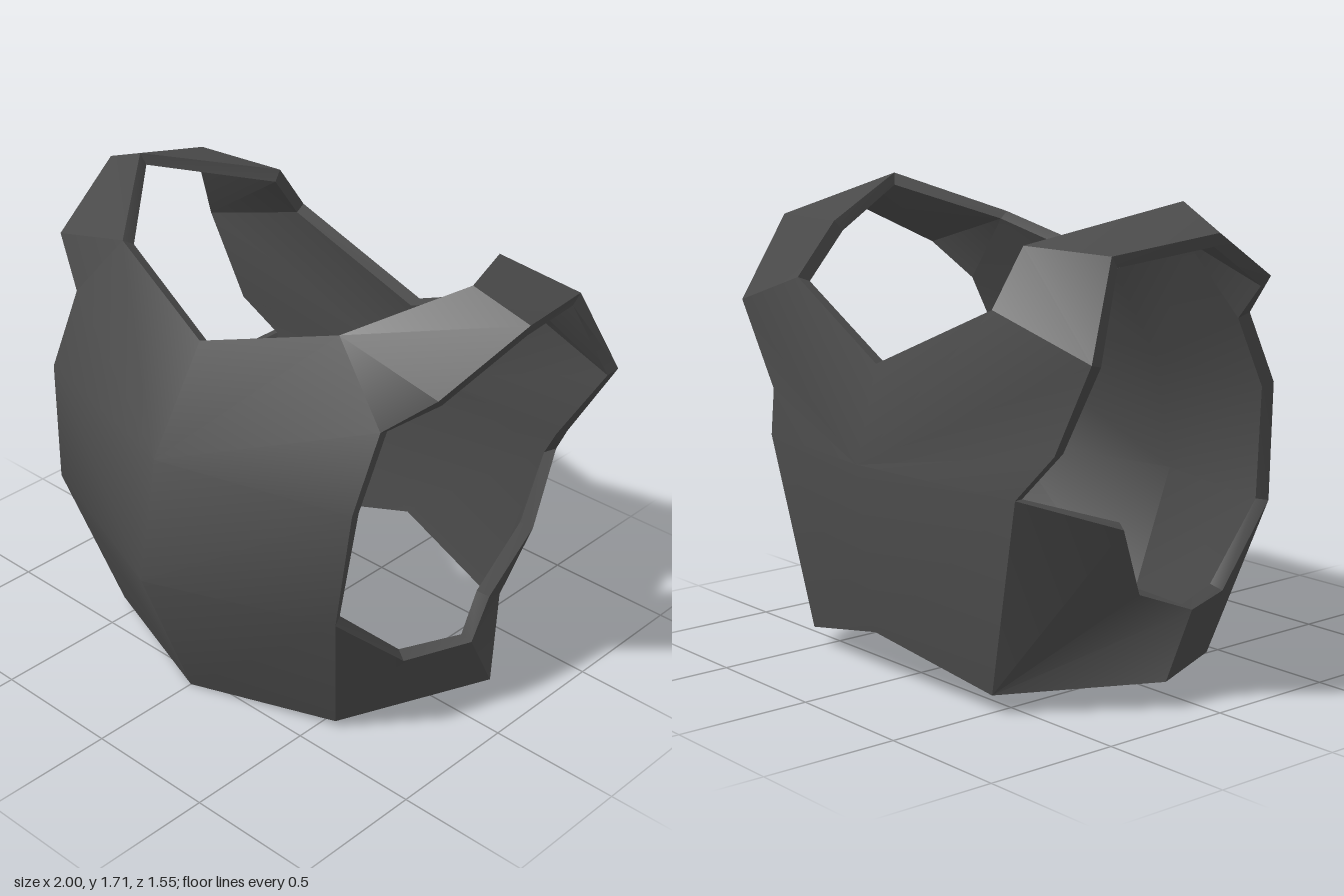
import * as THREE from 'three';
import { toCreasedNormals } from 'three/addons/utils/BufferGeometryUtils.js';

const THICKNESS = 0.05;

// Corner points of the left half (x >= 0) of the outer skin
const corners = {
  // breast centre line, bottom to neck
  a0: [0, 0, 0.56], a1: [0, 0.57, 0.78], a2: [0, 1.03, 0.70], a3: [0, 1.40, 0.47],
  // breast edge, bottom to shoulder
  b0: [0.56, 0.03, 0.38], b1: [0.70, 0.60, 0.54], b2: [0.74, 1.04, 0.51], b3: [0.74, 1.30, 0.38],
  // shoulder strap, neck side and arm side, front to back
  i0: [0.52, 1.56, 0.34], i1: [0.79, 1.71, 0], i2: [0.53, 1.575, -0.47], i3: [0.55, 1.38, -0.62],
  o0: [0.91, 1.45, 0.30], o1: [1.0, 1.625, -0.04], o2: [0.91, 1.57, -0.43], o3: [0.985, 1.25, -0.58],
  // back centre line and back edge
  m0: [0, 0.19, -0.70], m1: [0, 0.80, -0.77], m2: [0, 1.14, -0.68],
  c0: [0.52, 0.07, -0.60], c1: [0.70, 0.78, -0.65], c2: [0.80, 0.93, -0.57],
  // side guard under the arm
  d0: [0.79, 0.40, -0.18], d1: [0.86, 0.66, -0.32],
  e0: [0.86, 0.10, -0.12], e1: [0.86, 0.33, 0], g0: [0.76, 0.33, 0.25],
};

// Panels as corner loops, counter-clockwise from outside
const panels = {
  breastplate: ['a0 b0 b1 a1', 'a1 b1 b2 a2', 'a2 b2 b3 i0 a3'],
  shoulderStrap: ['b3 o0 i0', 'i0 o0 o1 i1', 'i1 o1 o2 i2', 'i2 o2 o3 i3'],
  backplate: ['m1 m2 i3 o3 c2 c1', 'm0 m1 c1 c0'],
  sideGuard: ['c0 c1 d1 d0', 'c0 d0 e1 e0', 'b0 e0 e1 g0', 'b0 g0 b1'],
};

// Both halves of the skin; centre points are shared
function buildSkin() {
  const points = {}, faces = [];
  for (const [key, [x, y, z]] of Object.entries(corners)) {
    points[key] = new THREE.Vector3(x, y, z);
    if (x > 0) points['-' + key] = new THREE.Vector3(-x, y, z);
  }
  const mirrored = (key) => (corners[key][0] > 0 ? '-' + key : key);
  for (const [part, loops] of Object.entries(panels)) {
    const paired = part === 'shoulderStrap' || part === 'sideGuard';
    for (const text of loops) {
      const loop = text.split(' ');
      // fan each loop, mirroring the triangles for the right half
      for (let k = 1; k < loop.length - 1; k++) {
        const tri = [loop[0], loop[k], loop[k + 1]];
        faces.push({ part: paired ? part + 'Left' : part, tri });
        faces.push({ part: paired ? part + 'Right' : part, tri: tri.map(mirrored).reverse() });
      }
    }
  }
  return { points, faces };
}

// Inner skin: every point pushed in along its averaged normal
function offsetInward(points, faces) {
  const normals = {}, inner = {};
  for (const key in points) normals[key] = new THREE.Vector3();
  for (const { tri } of faces) {
    const [p, q, r] = tri.map((key) => points[key]);
    const n = q.clone().sub(p).cross(r.clone().sub(p)).normalize();
    tri.forEach((key, k) => {
      const t = points[tri[(k + 1) % 3]].clone().sub(points[key]);
      const u = points[tri[(k + 2) % 3]].clone().sub(points[key]);
      normals[key].addScaledVector(n, t.angleTo(u));
    });
  }
  for (const key in points) {
    inner[key] = points[key].clone().addScaledVector(normals[key].normalize(), -THICKNESS);
  }
  return inner;
}

export function createModel() {
  const group = new THREE.Group();
  group.name = 'chestArmour';
  const material = new THREE.MeshStandardMaterial({ color: 0x4a4a4a });

  const { points, faces } = buildSkin();
  const inner = offsetInward(points, faces);

  const edges = new Set();
  for (const { tri } of faces) tri.forEach((key, k) => edges.add(key + '>' + tri[(k + 1) % 3]));

  const parts = {};
  for (const { part, tri } of faces) {
    const out = (parts[part] ??= []);
    const [p, q, r] = tri;
    out.push(points[p], points[q], points[r], inner[r], inner[q], inner[p]);
    // rim along open edges
    tri.forEach((from, k) => {
      const to = tri[(k + 1) % 3];
      if (edges.has(to + '>' + from)) return;
      out.push(points[to], points[from], inner[from], points[to], inner[from], inner[to]);
    });
  }

  for (const [name, vertices] of Object.entries(parts)) {
    const geometry = new THREE.BufferGeometry().setFromPoints(vertices);
    const mesh = new THREE.Mesh(toCreasedNormals(geometry, 0.6), material);
    mesh.name = name;
    group.add(mesh);
  }
  return group;
}
